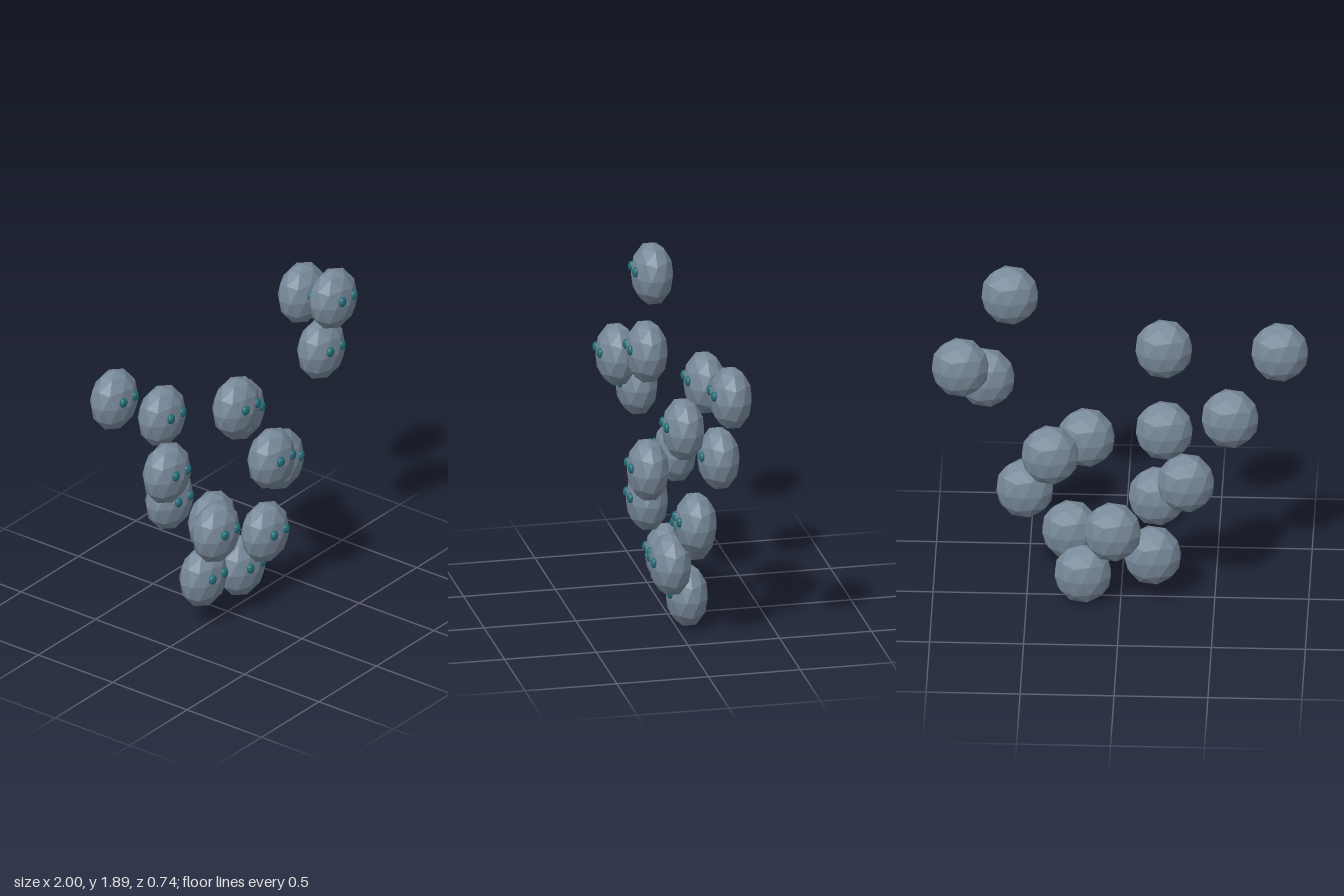
import * as THREE from 'three';

// Low-poly ellipsoid: icosphere standing on a vertex, scaled per axis
function ellipsoid(rx, ry, rz) {
  const g = new THREE.IcosahedronGeometry(1, 1);
  g.rotateX(-Math.atan2(0.8507, 0.5257));
  g.rotateY(Math.PI / 2);
  g.scale(rx, ry, rz);
  g.computeVertexNormals();
  return g;
}

// [x, z] of each creature, from the lowest to the highest at even height steps
const SPOTS = [
  [0.2, -0.06], [-0.17, -0.03], [0.27, 0.045], [0.04, -0.135],
  [-0.19, 0.07], [0.51, -0.04], [-0.35, -0.12], [0.19, 0.15],
  [0.37, -0.195], [-0.58, 0.04], [-0.24, -0.255], [0.72, 0.075],
  [-0.22, 0.23], [0.85, -0.155], [-0.85, -0.105], [0.6, 0.248],
];
const BASE_Y = 0.175;
const STEP_Y = 0.103;

export function createModel() {
  const model = new THREE.Group();
  model.name = 'swarm';

  const bodyMat = new THREE.MeshStandardMaterial({ color: 0x778899, flatShading: true });
  const eyeMat = new THREE.MeshStandardMaterial({ color: 0x226b75, flatShading: true });
  const bodyGeo = ellipsoid(0.157, 0.175, 0.114);
  const eyeGeo = ellipsoid(0.026, 0.029, 0.02);

  SPOTS.forEach(([x, z], i) => {
    const creature = new THREE.Group();
    creature.name = `creature${i + 1}`;
    creature.position.set(x, BASE_Y + STEP_Y * i, z);

    const body = new THREE.Mesh(bodyGeo, bodyMat);
    body.name = 'body';
    creature.add(body);

    // Pair of eyes on the front
    for (const side of [1, -1]) {
      const eye = new THREE.Mesh(eyeGeo, eyeMat);
      eye.name = side > 0 ? 'leftEye' : 'rightEye';
      eye.position.set(side * 0.05, 0.032, 0.1);
      creature.add(eye);
    }
    model.add(creature);
  });

  return model;
}
